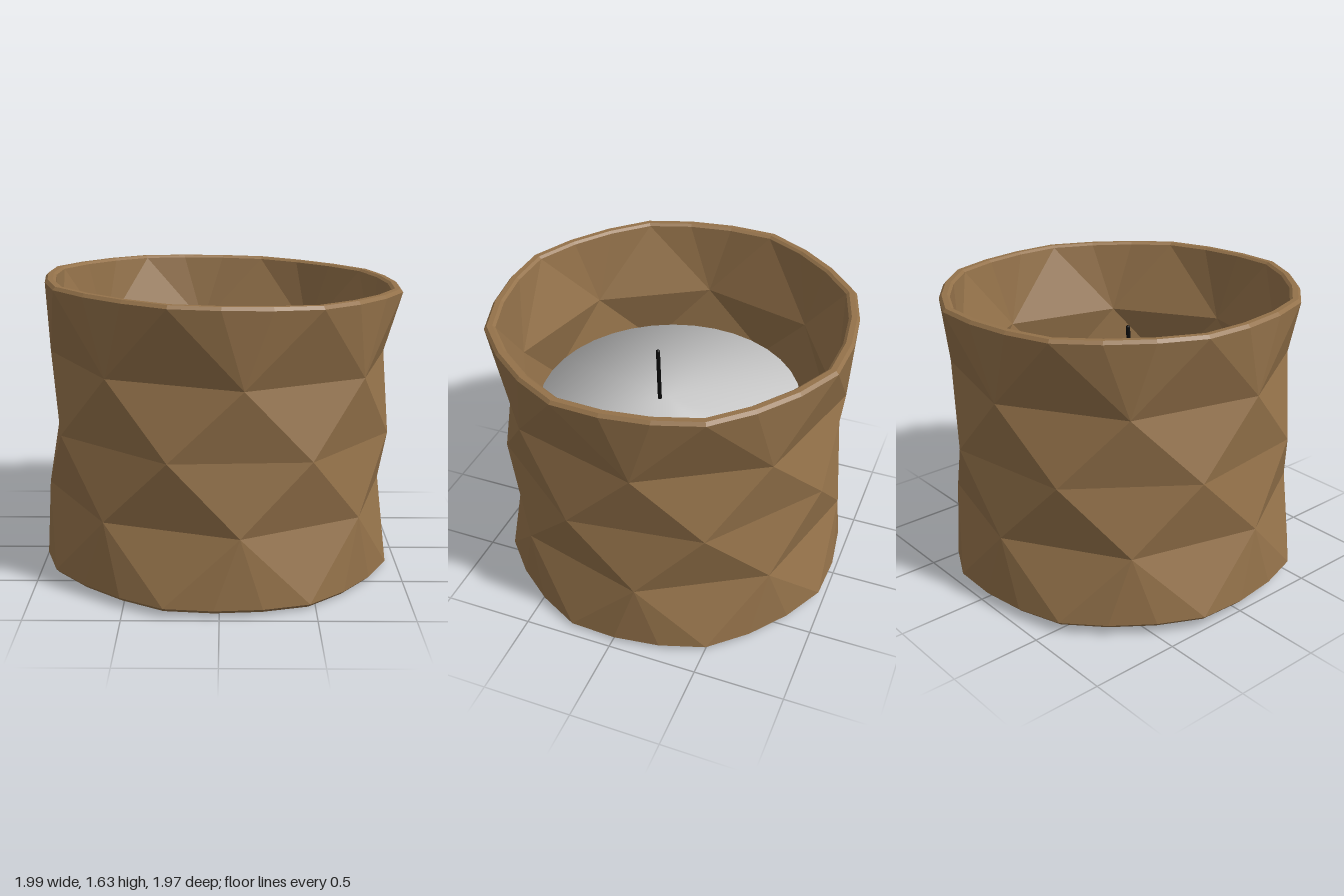
import * as THREE from 'three';

const SIDES = 8;
const PHASE = -Math.PI / 12;

// Ring of 8 * split points; points between the corners are pulled in slightly.
function ring(radius, y, split = 1, turn = 0) {
  const n = SIDES * split;
  return Array.from({ length: n }, (_, i) => {
    const a = PHASE + ((i + turn) / n) * Math.PI * 2;
    const r = i % split === 0 ? radius : radius * 0.978;
    return new THREE.Vector3(Math.sin(a) * r, y, Math.cos(a) * r);
  });
}

function createHolderGeometry() {
  const pos = [];
  const tri = (a, b, c, flip = false) => {
    if (a.equals(b) || b.equals(c) || a.equals(c)) return;
    for (const p of flip ? [a, c, b] : [a, b, c]) pos.push(p.x, p.y, p.z);
  };
  // Quads between two rings with the same number of points
  const strip = (a, b) => {
    for (let i = 0; i < a.length; i++) {
      const j = (i + 1) % a.length;
      tri(a[i], a[j], b[j]);
      tri(a[i], b[j], b[i]);
    }
  };
  // Zigzag of triangles between a corner ring and a staggered ring
  const zigzag = (edge, apex, flip) => {
    const s = edge.length / SIDES;
    for (let k = 0; k < SIDES; k++) {
      for (let j = 0; j < s; j++) {
        tri(edge[k * s + j], edge[(k * s + j + 1) % edge.length], apex[k], flip);
      }
      tri(edge[((k + 1) * s) % edge.length], apex[(k + 1) % SIDES], apex[k], flip);
    }
  };
  // Faceted wall, four bands high
  const wall = (bottom, top, inset, inside) => {
    const low = ring(0.957 - inset, 0.4, 1, 0.5);
    const mid = ring(0.965 - inset, 0.78);
    const high = ring(0.945 - inset, 1.16, 1, 0.5);
    zigzag(bottom, low, inside);
    zigzag(mid, low, !inside);
    zigzag(mid, high, inside);
    zigzag(top, high, !inside);
  };

  const outerBottom = ring(1.0, 0.02, 3);
  const outerTop = ring(1.0, 1.56, 3);
  const innerTop = ring(0.94, 1.565, 3);
  const innerBottom = ring(0.94, 0.07, 3);

  // Base
  const foot = ring(0.98, 0, 3);
  strip(ring(0, 0, 3), foot);
  strip(foot, outerBottom);
  wall(outerBottom, outerTop, 0, false);
  // Bevelled rim
  const rimOut = ring(0.985, 1.577, 3);
  const rimIn = ring(0.955, 1.577, 3);
  strip(outerTop, rimOut);
  strip(rimOut, rimIn);
  strip(rimIn, innerTop);
  // Inside wall and floor
  wall(innerBottom, innerTop, 0.06, true);
  strip(innerBottom, ring(0, 0.07, 3));

  const g = new THREE.BufferGeometry();
  g.setAttribute('position', new THREE.Float32BufferAttribute(pos, 3));
  g.computeVertexNormals();
  return g;
}

export function createModel() {
  const model = new THREE.Group();
  model.name = 'candleInHolder';

  // Everything leans slightly to one side
  const body = new THREE.Group();
  body.name = 'leaningBody';
  body.position.set(-0.03, 0.028, -0.005);
  body.rotation.set(0.006, 0, -0.0254);
  model.add(body);

  const add = (name, geometry, options) => {
    const mesh = new THREE.Mesh(geometry, new THREE.MeshStandardMaterial(options));
    mesh.name = name;
    body.add(mesh);
    return mesh;
  };

  add('facetedHolder', createHolderGeometry(), { color: 0x94724a, flatShading: true });

  // Candle with a softly shaded edge
  const profile = [[0, 0.07], [0.74, 0.07], [0.74, 0.97], [0, 0.97]];
  const wax = new THREE.LatheGeometry(profile.map(([x, y]) => new THREE.Vector2(x, y)), 36);
  add('candle', wax, { color: 0xcccccc }).position.set(-0.015, 0, 0.04);

  // Wick
  const wickPath = new THREE.LineCurve3(
    new THREE.Vector3(0.012, 0.94, 0.09),
    new THREE.Vector3(0.032, 1.3, 0.085)
  );
  add('wick', new THREE.TubeGeometry(wickPath, 1, 0.012, 8), { color: 0x0a0a0a });
  const tip = add('wickTip', new THREE.SphereGeometry(0.012, 8, 6), { color: 0x0a0a0a });
  tip.position.copy(wickPath.v2);

  return model;
}
